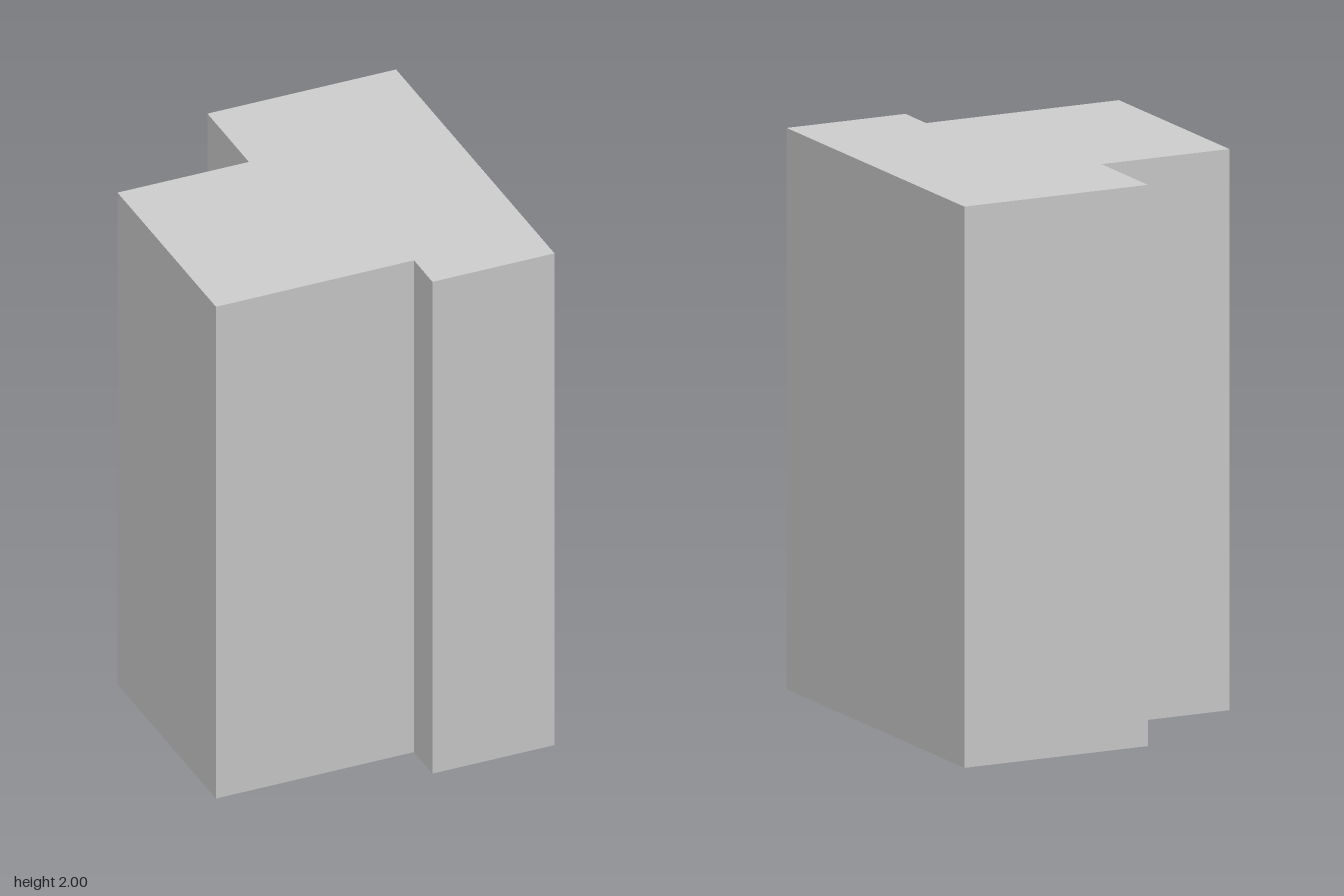
import * as THREE from 'three';

const HEIGHT = 2;

// Footprint corners as [x, z], clockwise seen from above
const FOOTPRINT = [
  [-0.19, -0.623], [0.524, -0.69], [0.651, 0.643], [0.189, 0.686],
  [0.175, 0.53], [-0.575, 0.601], [-0.654, -0.227], [-0.157, -0.273],
];

export function createModel() {
  const model = new THREE.Group();
  model.name = 'building';
  const material = new THREE.MeshStandardMaterial({
    color: 0xcccccc, flatShading: true, side: THREE.DoubleSide,
  });

  // Walls: one upright panel per footprint edge, open underneath
  const walls = new THREE.Group();
  walls.name = 'walls';
  FOOTPRINT.forEach(([ax, az], i) => {
    const [bx, bz] = FOOTPRINT[(i + 1) % FOOTPRINT.length];
    const dx = ax - bx, dz = az - bz;
    const wall = new THREE.Mesh(new THREE.PlaneGeometry(Math.hypot(dx, dz), HEIGHT), material);
    wall.name = `wall${i + 1}`;
    wall.position.set((ax + bx) / 2, HEIGHT / 2, (az + bz) / 2);
    wall.rotation.y = Math.atan2(-dz, dx);
    walls.add(wall);
  });
  model.add(walls);

  // Flat roof
  const outline = new THREE.Shape(FOOTPRINT.map(([x, z]) => new THREE.Vector2(x, -z)));
  const roof = new THREE.Mesh(new THREE.ShapeGeometry(outline).rotateX(-Math.PI / 2), material);
  roof.name = 'roof';
  roof.position.y = HEIGHT;
  model.add(roof);

  return model;
}
